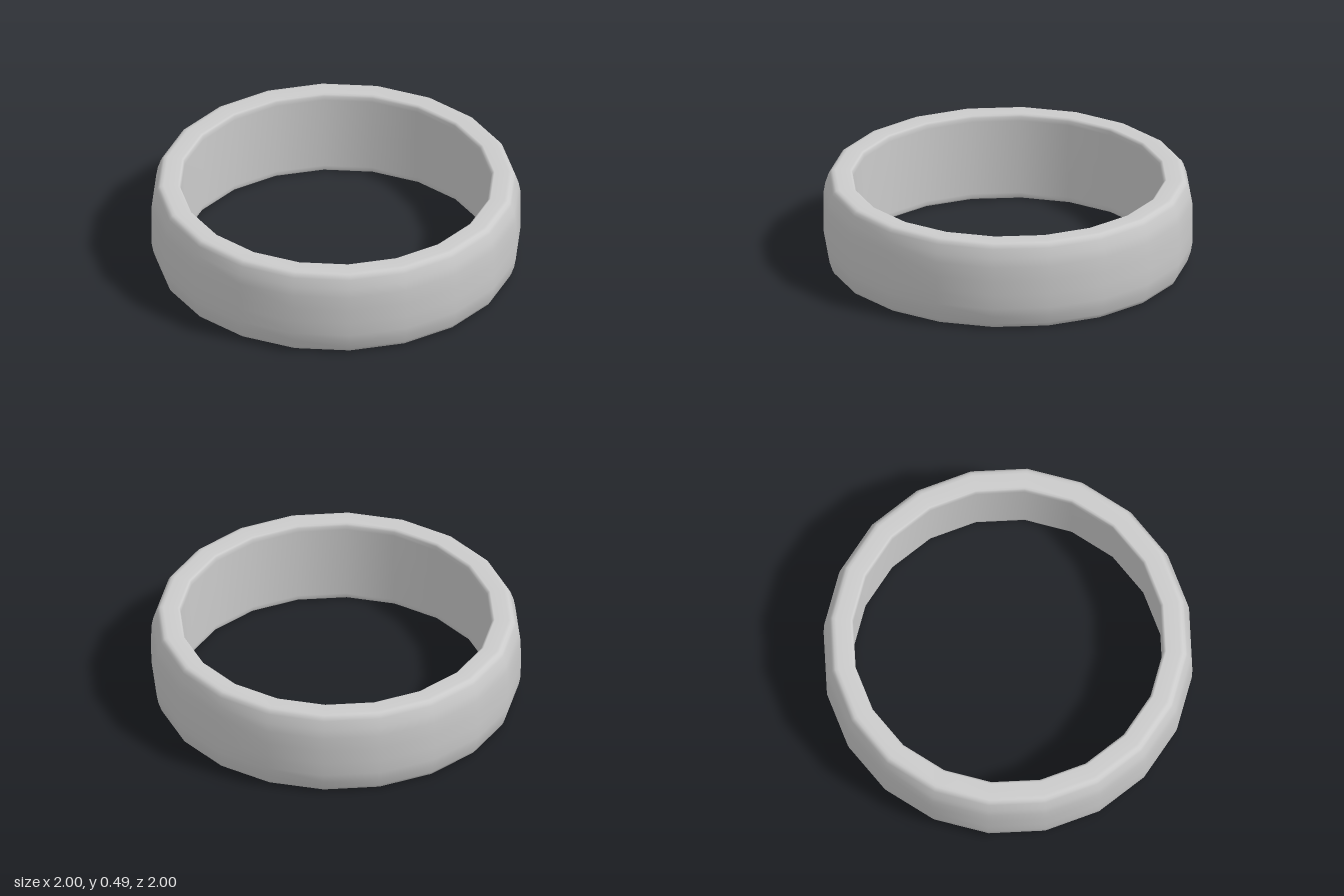
import * as THREE from 'three';

// Half of the band's section, [radius, height above the middle], inner wall to outer wall
const HALF = [
  [0.84, 0], [0.84, 0.21], [0.842, 0.232], [0.848, 0.242], [0.858, 0.247],
  [0.935, 0.247], [0.952, 0.244], [0.965, 0.235], [0.973, 0.218],
  [0.989, 0.17], [0.998, 0.12], [1, 0.04],
];
const MID = 0.247;

export function createModel() {
  const group = new THREE.Group();
  group.name = 'ring';

  // Closed section: the lower half outward, then the upper half back inward
  const lower = HALF.map(([r, h]) => new THREE.Vector2(r, MID - h));
  const upper = HALF.map(([r, h]) => new THREE.Vector2(r, MID + h)).reverse();

  // Smooth band with 20 sides
  const band = new THREE.Mesh(
    new THREE.LatheGeometry([...lower, ...upper], 20),
    new THREE.MeshStandardMaterial({ color: 0xcccccc })
  );
  band.name = 'band';
  group.add(band);
  return group;
}
